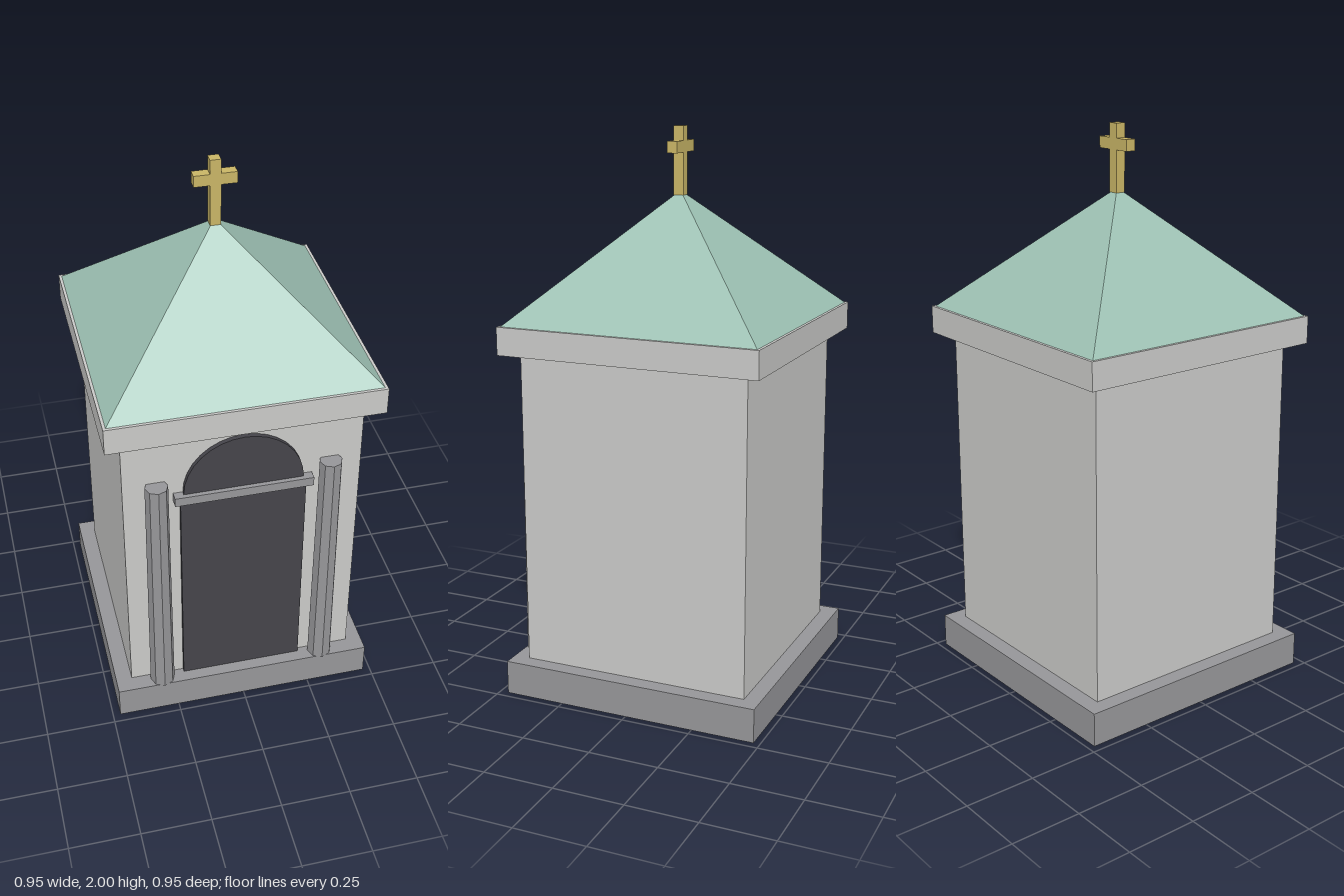
import * as THREE from 'three';

export function createModel() {
  const mat = (name, color, flatShading = true) => {
    const m = new THREE.MeshStandardMaterial({ color, flatShading });
    m.name = name;
    return m;
  };
  const wall = mat('pale plaster', 0xcacac8);
  const stone = mat('grey stone', 0x969699);
  const dark = mat('dark door', 0x45444a);
  const copper = mat('green copper', 0x9cc0b2);
  const gold = mat('gold', 0xc9b566);

  const model = new THREE.Group();
  model.name = 'chapel';
  const add = (name, geometry, material, x, y, z) => {
    const mesh = new THREE.Mesh(geometry, material);
    mesh.name = name;
    mesh.position.set(x, y, z);
    model.add(mesh);
    return mesh;
  };
  // Box given by its size, bottom height and centre in z
  const box = (name, material, w, h, d, bottom, z) =>
    add(name, new THREE.BoxGeometry(w, h, d), material, 0, bottom + h / 2, z);

  const zc = -0.004; // centre of the square plan

  // Plinth, walls and cornice
  box('plinth', stone, 0.946, 0.122, 0.946, 0, zc);
  box('walls', wall, 0.83, 1.125, 0.83, 0.121, zc);
  box('cornice', wall, 0.946, 0.098, 0.946, 1.246, zc);

  // Pyramid roof
  const roof = new THREE.ConeGeometry(0.463 * Math.SQRT2, 0.435, 4).rotateY(Math.PI / 4);
  add('roof', roof, copper, 0, 1.344 + 0.435 / 2, zc);

  // Cross on the apex
  box('crossPost', gold, 0.037, 0.236, 0.037, 1.764, zc);
  box('crossBar', gold, 0.146, 0.04, 0.037, 1.91, zc);

  // Door with an arched top and a lintel
  box('door', dark, 0.44, 0.84, 0.03, 0.12, 0.411);
  const arch = new THREE.CylinderGeometry(0.209, 0.209, 0.03, 16, 1, false, -Math.PI / 2, Math.PI)
    .rotateX(-Math.PI / 2).rotateZ(0);
  arch.computeBoundingBox();
  if (arch.boundingBox.max.y < 0.1) arch.rotateZ(Math.PI); // keep the round side up
  add('doorArch', arch, dark, 0, 0.99, 0.412);
  box('lintel', stone, 0.484, 0.034, 0.05, 0.957, 0.418);

  // Tapered eight-sided columns beside the door
  for (const [side, name] of [[1, 'leftColumn'], [-1, 'rightColumn']]) {
    add(name, new THREE.CylinderGeometry(0.04, 0.045, 0.928, 8), stone, side * 0.302, 0.584, 0.431);
  }
  return model;
}
